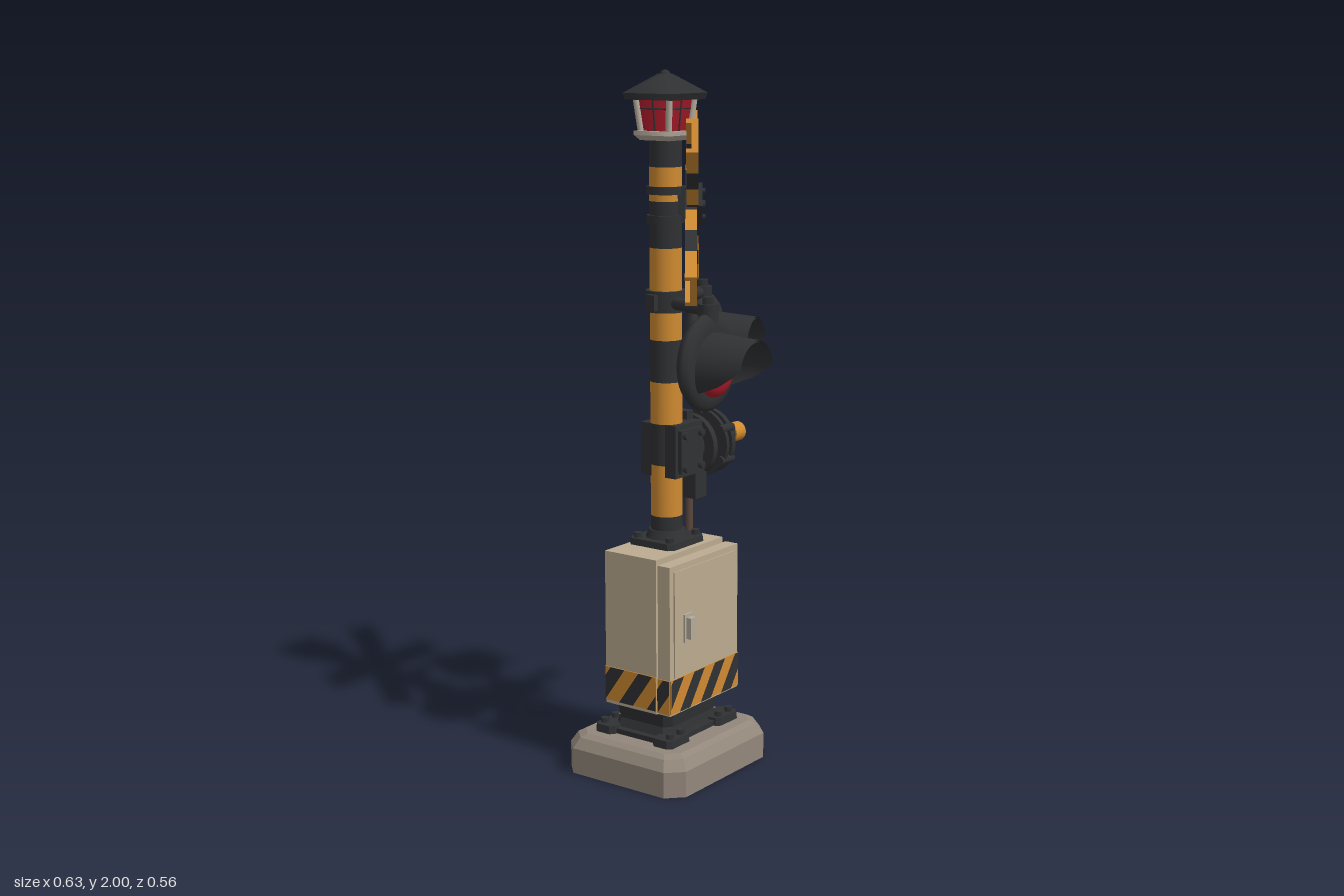
import * as THREE from 'three';
import { ParametricGeometry } from 'three/addons/geometries/ParametricGeometry.js';

const mat = (name, color, side = THREE.FrontSide) => {
  const m = new THREE.MeshStandardMaterial({ color, side });
  m.name = name;
  return m;
};
const black = mat('black metal', 0x303133, THREE.DoubleSide);
const orange = mat('safety orange', 0xcf8a31);
const beige = mat('cabinet beige', 0xbbab90);
const concrete = mat('concrete', 0x93877b);
const red = mat('signal red', 0xb01c2c);
const trim = mat('lantern trim', 0xb5ab9c);
const brown = mat('rod brown', 0x5a463c);

const PX = -0.053, PZ = -0.087; // pole axis

function add(parent, name, geo, material, x = 0, y = 0, z = 0) {
  const m = new THREE.Mesh(geo, material);
  m.name = name;
  m.position.set(x, y, z);
  parent.add(m);
  return m;
}
function group(parent, name, x = 0, y = 0, z = 0, yaw = 0) {
  const g = new THREE.Group();
  g.name = name;
  g.position.set(x, y, z);
  g.rotation.y = yaw;
  parent.add(g);
  return g;
}
// Box given by its limits
const box = (p, name, m, x0, x1, y0, y1, z0, z1) =>
  add(p, name, new THREE.BoxGeometry(x1 - x0, y1 - y0, z1 - z0), m, (x0 + x1) / 2, (y0 + y1) / 2, (z0 + z1) / 2);
const cyl = (r, h, n = 24, r2 = r) => new THREE.CylinderGeometry(r2, r, h, n);
// Four-sided frustum measured by half widths
const frustum = (bottom, top, h) => new THREE.CylinderGeometry(top * Math.SQRT2, bottom * Math.SQRT2, h, 4).rotateY(Math.PI / 4).toNonIndexed();
function rod(p, name, m, a, b, r) {
  const va = new THREE.Vector3(...a), d = new THREE.Vector3(...b).sub(va);
  const mesh = add(p, name, cyl(r, d.length(), 14), m);
  mesh.position.copy(va).addScaledVector(d, 0.5);
  mesh.quaternion.setFromUnitVectors(new THREE.Vector3(0, 1, 0), d.normalize());
  return mesh;
}
// Stack of chamfered rectangles: sections are [y, halfX, halfZ, chamfer]
function chamferedBlock(sections) {
  const rings = sections.map(([y, a, b, c]) =>
    [[a - c, b], [a, b - c], [a, c - b], [a - c, -b], [c - a, -b], [-a, c - b], [-a, b - c], [c - a, b]].map(([x, z]) => [x, y, z]));
  const out = [], tri = (...v) => v.forEach(q => out.push(...q));
  for (let s = 0; s + 1 < rings.length; s++) {
    for (let i = 0; i < 8; i++) {
      const j = (i + 1) % 8, A = rings[s], B = rings[s + 1];
      tri(A[i], A[j], B[j], A[i], B[j], B[i]);
    }
  }
  const top = rings[rings.length - 1], low = rings[0];
  for (let i = 1; i < 7; i++) tri(top[0], top[i], top[i + 1], low[0], low[i + 1], low[i]);
  const g = new THREE.BufferGeometry();
  g.setAttribute('position', new THREE.Float32BufferAttribute(out, 3));
  g.computeVertexNormals();
  return g;
}

// Hazard band facing local +z, with slanted stripes clipped to its width
function hazardBand(parent, w, h, x, y, z, yaw, start) {
  const g = group(parent, 'hazardBand', x, y, z, yaw);
  add(g, 'bandBase', new THREE.BoxGeometry(w, h, 0.004), orange);
  const lean = 0.07, width = 0.05, clamp = v => Math.min(w, Math.max(0, v));
  for (let a = start; a < w; a += 0.1) {
    const ys = [0, h];
    for (const e of [a, a + width]) for (const lim of [0, w]) {
      const c = (lim - e) * h / lean;
      if (c > 0 && c < h) ys.push(c);
    }
    ys.sort((p, q) => p - q);
    const at = (e, v) => new THREE.Vector2(clamp(e + lean * v / h) - w / 2, v - h / 2);
    const pts = [...ys.map(v => at(a + width, v)), ...ys.reverse().map(v => at(a, v))]
      .filter((p, i, l) => i === 0 || p.distanceTo(l[i - 1]) > 1e-5);
    if (pts.length > 2) add(g, 'bandStripe', new THREE.ShapeGeometry(new THREE.Shape(pts)), black, 0, 0, 0.0035);
  }
}

function buildBase(root) {
  add(root, 'concreteBase', chamferedBlock([[0, 0.236, 0.209, 0.045], [0.075, 0.236, 0.209, 0.045], [0.105, 0.218, 0.191, 0.04], [0.115, 0.2, 0.173, 0.035]]), concrete, -0.08, 0, -0.066);
  const g = group(root, 'pedestal', -0.08, 0, -0.068);
  add(g, 'flange', chamferedBlock([[0.114, 0.15, 0.12, 0.02], [0.13, 0.15, 0.12, 0.02]]), black);
  add(g, 'plinth', chamferedBlock([[0.13, 0.13, 0.1, 0.02], [0.155, 0.12, 0.095, 0.02], [0.19, 0.125, 0.1, 0.02], [0.215, 0.14, 0.11, 0.02]]), black);
  for (const sx of [-1, 1]) for (const sz of [-1, 1]) {
    add(g, 'foot', chamferedBlock([[0.114, 0.052, 0.035, 0.012], [0.138, 0.05, 0.033, 0.012]]), black, sx * 0.118, 0, sz * 0.104);
    for (const o of [-0.025, 0.025]) add(g, 'footBolt', cyl(0.012, 0.014, 6), black, sx * 0.118 + o, 0.145, sz * 0.118);
  }
}

function buildCabinet(root) {
  const g = group(root, 'cabinet');
  box(g, 'cabinetBody', beige, -0.235, 0.085, 0.205, 0.657, -0.17, 0.012);
  box(g, 'doorSeal', black, -0.225, 0.075, 0.215, 0.64, 0.012, 0.022);
  box(g, 'door', beige, -0.24, 0.087, 0.21, 0.645, 0.022, 0.064);
  box(g, 'doorPanel', beige, -0.222, 0.069, 0.32, 0.628, 0.064, 0.068);
  hazardBand(g, 0.327, 0.1, -0.0765, 0.265, 0.065, 0, -0.06);
  hazardBand(g, 0.32, 0.1, -0.075, 0.265, -0.171, Math.PI, -0.04);
  hazardBand(g, 0.182, 0.1, 0.086, 0.265, -0.079, Math.PI / 2, -0.03);
  hazardBand(g, 0.182, 0.1, -0.236, 0.265, -0.079, -Math.PI / 2, -0.05);
  hazardBand(g, 0.042, 0.1, 0.088, 0.265, 0.043, Math.PI / 2, -0.07);
  hazardBand(g, 0.042, 0.1, -0.241, 0.265, 0.043, -Math.PI / 2, -0.05);
  // Handle and hinges
  box(g, 'handlePlate', trim, -0.182, -0.145, 0.415, 0.497, 0.066, 0.074);
  box(g, 'handle', trim, -0.175, -0.152, 0.425, 0.487, 0.074, 0.09);
  for (const y of [0.345, 0.555]) {
    box(g, 'hingeLeaf', black, 0.084, 0.095, y - 0.028, y + 0.028, 0.003, 0.06);
    add(g, 'hingePin', cyl(0.011, 0.062, 12), black, 0.099, y, 0.018);
  }
}

function buildPole(root) {
  const g = group(root, 'pole', PX, 0, PZ);
  const levels = [0.66, 0.74, 0.89, 1.01, 1.13, 1.25, 1.33, 1.39, 1.51, 1.64, 1.735, 1.82];
  // The collar hides one change, so colours simply alternate
  for (let i = 0; i + 1 < levels.length; i++) {
    const h = levels[i + 1] - levels[i];
    add(g, 'poleBand', cyl(0.046, h), i % 2 ? orange : black, 0, levels[i] + h / 2, 0);
  }
  add(g, 'poleFlange', chamferedBlock([[0.655, 0.085, 0.08, 0.015], [0.676, 0.083, 0.078, 0.015]]), black);
  add(g, 'poleSocket', cyl(0.062, 0.025, 24, 0.052), black, 0, 0.686, 0);
  for (const x of [-0.062, 0.062]) for (const z of [-0.057, 0.057]) add(g, 'flangeBolt', cyl(0.013, 0.016, 6), black, x, 0.682, z);
}

function buildLantern(root) {
  const g = group(root, 'lantern', PX, 0, PZ);
  add(g, 'lanternBase', frustum(0.05, 0.062, 0.014), trim, 0, 1.815, 0);
  add(g, 'lanternSill', frustum(0.063, 0.063, 0.012), trim, 0, 1.828, 0);
  add(g, 'lanternGlass', frustum(0.046, 0.056, 0.09), red, 0, 1.877, 0);
  for (let i = 0; i < 4; i++) {
    const side = group(g, 'lanternSide', 0, 0, 0, i * Math.PI / 2);
    rod(side, 'lanternPost', trim, [0.048, 1.83, 0.048], [0.058, 1.925, 0.058], 0.009);
    rod(side, 'glassBar', black, [0, 1.832, 0.047], [0, 1.922, 0.057], 0.0025);
    rod(side, 'glassCrossbar', black, [-0.05, 1.895, 0.0535], [0.05, 1.895, 0.0535], 0.002);
  }
  add(g, 'roofEave', frustum(0.08, 0.084, 0.018), black, 0, 1.928, 0);
  add(g, 'roof', frustum(0.084, 0.014, 0.052), black, 0, 1.963, 0);
  add(g, 'roofKnob', new THREE.SphereGeometry(0.0155, 14, 10), black, 0, 1.9845, 0);
}

function buildCross(root) {
  const yaw = 0.63;
  const g = group(root, 'crossSign', PX + 0.078 * Math.sin(yaw), 1.63, PZ + 0.078 * Math.cos(yaw), yaw);
  const bands = [[0, 0.085, black], [0.085, 0.17, orange], [0.17, 0.255, black], [0.255, 0.36, orange]];
  [0.61, -0.61].forEach((tilt, k) => {
    const arm = group(g, 'crossArm', 0, 0, k * 0.004);
    arm.rotation.z = tilt;
    for (const s of [-1, 1]) for (const [a, b, m] of bands) {
      const x0 = Math.min(s * a, s * b), x1 = Math.max(s * a, s * b);
      box(arm, 'armBand', m, x0, x1, -0.052, 0.052, -0.008, 0.01);
      // Folded edges behind the board
      for (const e of [-1, 1]) box(arm, 'armEdge', m, x0, x1, e * 0.0455 - 0.0065, e * 0.0455 + 0.0065, -0.022, -0.008);
    }
  });
  const plate = add(g, 'centrePlate', new THREE.BoxGeometry(0.085, 0.085, 0.014), black, 0, 0, 0.018);
  plate.rotation.z = Math.PI / 4;
  for (let i = 0; i < 4; i++) {
    const a = i * Math.PI / 2;
    add(g, 'plateBolt', cyl(0.009, 0.012, 6).rotateX(Math.PI / 2), black, 0.036 * Math.cos(a), 0.036 * Math.sin(a), 0.028);
  }
  box(g, 'crossMount', black, -0.03, 0.03, -0.05, 0.05, -0.06, -0.005);
  for (const y of [-0.04, 0.04]) add(g, 'crossClamp', cyl(0.053, 0.022), black, 0, y, -0.078);
}

function buildLamp(root, x, z, yaw, boltX, boltZ) {
  const g = group(root, 'signalLamp', x, 1.215, z, yaw);
  const profile = [[0, -0.045], [0.05, -0.042], [0.095, -0.03], [0.122, -0.014], [0.135, 0.002], [0.135, 0.014], [0.122, 0.026], [0.1, 0.03], [0, 0.032]];
  add(g, 'lampDish', new THREE.LatheGeometry(profile.map(p => new THREE.Vector2(...p)), 40).rotateX(Math.PI / 2), black);
  add(g, 'lens', new THREE.SphereGeometry(0.075, 28, 18).scale(1, 1, 0.5), red, 0, -0.02, 0.032);
  // Visor, longest at the top and swept back at the sides
  const visor = inner => new ParametricGeometry((u, v, t) => {
    const a = -0.6 + u * (Math.PI + 1.2);
    const reach = 0.012 + 0.128 * Math.sqrt(Math.min(1, Math.max(0, (Math.sin(a) + 0.5) / 0.7)));
    const r = 0.1 - v * reach * 0.08 - inner;
    t.set(r * Math.cos(a), r * Math.sin(a) - 0.015, 0.024 + v * reach);
  }, 36, 4);
  add(g, 'visor', visor(0), black);
  add(g, 'visorLining', visor(0.005), black);
  // Hanger from the pole collar
  const h = group(root, 'lampHanger');
  rod(h, 'hangerArm', black, [PX, 1.357, PZ], [boltX, 1.357, boltZ], 0.018);
  add(h, 'hangerJoint', cyl(0.028, 0.05, 16), black, boltX, 1.35, boltZ);
  add(h, 'hangerNut', cyl(0.017, 0.02, 6), black, boltX, 1.384, boltZ);
}

function buildGate(root) {
  const g = group(root, 'gateDrive', 0, 0.925, PZ);
  box(g, 'driveBracket', black, -0.092, 0.035, -0.068, 0.085, -0.062, 0.062);
  box(g, 'bracketFace', black, -0.08, 0.022, -0.055, 0.07, 0.062, 0.074);
  for (const x of [-0.066, 0.008]) for (const y of [-0.04, 0.055]) add(g, 'bracketBolt', cyl(0.011, 0.014, 6).rotateX(Math.PI / 2), black, x, y, 0.08);
  box(g, 'lowerLug', black, 0.005, 0.06, -0.145, -0.06, -0.06, 0.06);
  box(g, 'upperLug', black, 0.005, 0.035, 0.08, 0.11, -0.03, 0.03);
  const turn = (name, m, x0, x1, r) => add(g, name, cyl(r, x1 - x0, 28).rotateZ(-Math.PI / 2), m, (x0 + x1) / 2, 0, 0);
  for (const [a, b, r] of [[0.03, 0.05, 0.06], [0.05, 0.07, 0.093], [0.07, 0.105, 0.065], [0.105, 0.118, 0.1], [0.118, 0.135, 0.085], [0.135, 0.152, 0.098], [0.152, 0.172, 0.055]]) turn('driveDisc', black, a, b, r);
  for (let i = 0; i < 6; i++) {
    const a = i * Math.PI / 3 + Math.PI / 6;
    add(g, 'driveBolt', cyl(0.014, 0.06, 8).rotateZ(Math.PI / 2), black, 0.126, 0.092 * Math.sin(a), 0.092 * Math.cos(a));
  }
  turn('barrierStub', black, 0.17, 0.258, 0.025);
  turn('barrierTip', orange, 0.256, 0.303, 0.029);
  // Push rod down to the cabinet
  rod(g, 'pushRod', brown, [0.035, -0.27, 0.015], [0.035, -0.1, 0.015], 0.011);
}

export function createModel() {
  const root = new THREE.Group();
  root.name = 'railwayCrossingSignal';
  buildBase(root);
  buildCabinet(root);
  buildPole(root);
  buildLantern(root);
  buildCross(root);
  add(root, 'lampCollar', cyl(0.058, 0.06), black, PX, 1.36, PZ);
  for (const s of [-1, 1]) add(root, 'collarLug', new THREE.BoxGeometry(0.05, 0.045, 0.03), black, PX + s * 0.05, 1.36, PZ);
  buildLamp(root, -0.138, 0.112, 0.06, -0.128, 0.115);
  buildLamp(root, 0.183, -0.13, 0.28, 0.17, -0.122);
  buildGate(root);
  return root;
}
